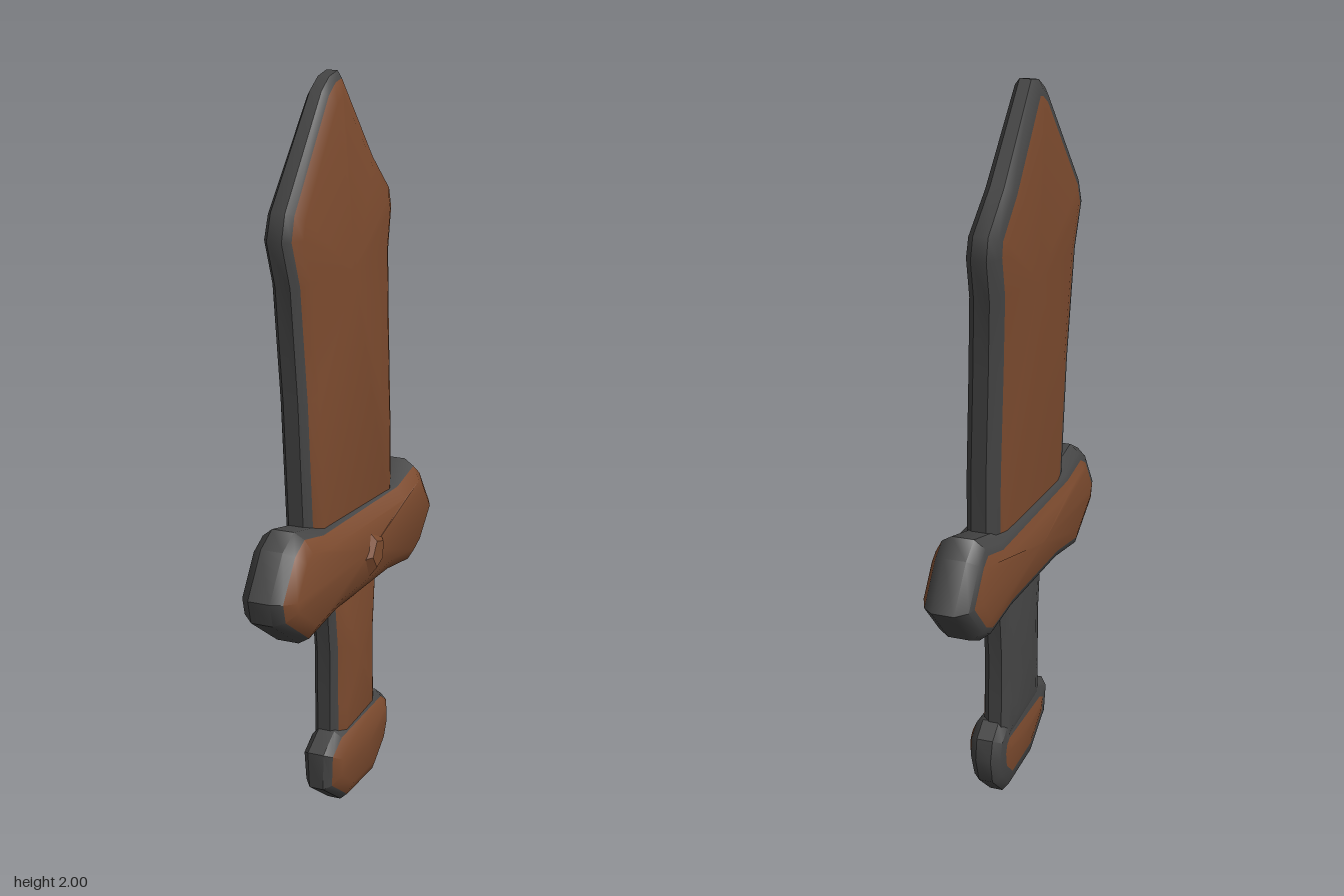
import * as THREE from 'three';
import { toCreasedNormals } from 'three/addons/utils/BufferGeometryUtils.js';

const wood = new THREE.MeshStandardMaterial({ color: 0x7b4a2e });
wood.name = 'brownWood';
const edge = new THREE.MeshStandardMaterial({ color: 0x444444 });
edge.name = 'darkEdge';

// Moves every corner of a counter-clockwise outline inward by d
function inset(pts, d) {
  const n = pts.length;
  return pts.map(([u, y], i) => {
    const [pu, py] = pts[(i + n - 1) % n], [nu, ny] = pts[(i + 1) % n];
    const a = new THREE.Vector2(py - y, u - pu).normalize();
    const b = new THREE.Vector2(y - ny, nu - u).normalize();
    const m = a.clone().add(b);
    m.multiplyScalar(d / Math.max(0.6, 1 + a.dot(b)));
    return [u + m.x, y + m.y];
  });
}

// Slab lying in the zy plane: u = -z, depth(u, y) returns [middle x, half thickness].
// Each ring is [inset, depth fraction]; the outermost rings carry the face colours.
function slab(name, pts, depth, { backInset = 0.04, backMaterial = edge, dome = 1.05 } = {}) {
  const rings = [
    [backInset + 0.025, -1], [backInset, -0.9],
    [0.022, -0.82], [0, -0.45], [0, 0.35], [0.016, 0.72],
    [0.05, 1],
  ];
  const n = pts.length, pos = [], index = [];
  const add = (u, y, t) => {
    const [mid, half] = depth(u, y);
    pos.push(mid + t * half, y, -u);
  };
  for (const [d, t] of rings) for (const [u, y] of inset(pts, d)) add(u, y, t);
  const cu = pts.reduce((s, p) => s + p[0], 0) / n;
  const cy = pts.reduce((s, p) => s + p[1], 0) / n;
  add(cu, cy, -dome);
  add(cu, cy, dome);
  const back = rings.length * n, front = back + 1;

  const band = (r) => {
    for (let i = 0; i < n; i++) {
      const j = (i + 1) % n;
      const a = r * n + i, b = r * n + j, c = b + n, d = a + n;
      index.push(a, b, c, a, c, d);
    }
  };
  const geo = new THREE.BufferGeometry();
  let start = 0;
  const close = (material) => {
    geo.addGroup(start, index.length - start, material);
    start = index.length;
  };
  // back face
  for (let i = 0; i < n; i++) index.push(back, (i + 1) % n, i);
  band(0);
  close(0);
  // dark rim
  for (let r = 1; r < 5; r++) band(r);
  close(1);
  // front face
  band(5);
  const last = (rings.length - 1) * n;
  for (let i = 0; i < n; i++) index.push(front, last + i, last + (i + 1) % n);
  close(2);

  geo.setAttribute('position', new THREE.Float32BufferAttribute(pos, 3));
  geo.setIndex(index);
  const mesh = new THREE.Mesh(toCreasedNormals(geo, 0.65), [backMaterial, edge, wood]);
  mesh.name = name;
  return mesh;
}

export function createModel() {
  const sword = new THREE.Group();
  sword.name = 'woodenSword';
  const lerp = THREE.MathUtils.lerp;

  // blade leans back towards the tip and is slightly twisted
  sword.add(slab('blade', [
    [-0.24, 0.72], [0.23, 0.72], [0.24, 1.0], [0.255, 1.3], [0.268, 1.5], [0.297, 1.61],
    [0.29, 1.67], [0.2, 1.77], [0.035, 2.0], [-0.015, 1.99], [-0.06, 1.96],
    [-0.265, 1.69], [-0.284, 1.62], [-0.252, 1.5], [-0.245, 1.2],
  ], (u, y) => {
    const low = Math.min(1, Math.max(0, (y - 0.9) / 0.7));
    const high = Math.max(0, (y - 1.6) / 0.4);
    return [lerp(0, -0.035, low) - 0.007 * high + 0.08 * u * (1 - 0.5 * high), 0.051 - 0.013 * high];
  }, { backMaterial: wood, dome: 1 }));

  // cross guard, twisted against the blade
  sword.add(slab('guard', [
    [-0.46, 0.74], [-0.445, 0.675], [-0.31, 0.575], [-0.15, 0.6], [0.16, 0.6], [0.3, 0.58],
    [0.36, 0.61], [0.457, 0.725], [0.38, 0.845], [0.33, 0.885], [0.22, 0.855],
    [-0.22, 0.865], [-0.33, 0.89], [-0.39, 0.855],
  ], (u) => [0.003 + 0.066 * u, 0.076], { backMaterial: wood, dome: 1.15 }));

  // low five-sided boss on the guard
  const boss = new THREE.Mesh(
    toCreasedNormals(new THREE.CylinderGeometry(0.04, 0.075, 0.024, 5), 0.6), wood);
  boss.name = 'guardBoss';
  boss.rotation.z = -Math.PI / 2;
  boss.position.set(0.087, 0.72, -0.02);
  sword.add(boss);

  // grip, plain dark on its back
  sword.add(slab('grip', [
    [-0.13, 0.18], [0.155, 0.18], [0.15, 0.3], [0.147, 0.45], [0.168, 0.66],
    [-0.155, 0.66], [-0.132, 0.48], [-0.13, 0.3],
  ], () => [0.004, 0.046]));

  // pommel, with a small bare patch on its back
  sword.add(slab('pommel', [
    [-0.2, 0.2], [-0.197, 0.095], [-0.08, 0.008], [0.11, 0], [0.19, 0.075], [0.21, 0.15],
    [0.197, 0.21], [0.15, 0.245], [-0.13, 0.24],
  ], (u, y) => [0.014 + 0.02 * u, 0.045 + 0.06 * Math.min(y, 0.2)], { backInset: 0.055, backMaterial: wood }));

  return sword;
}
